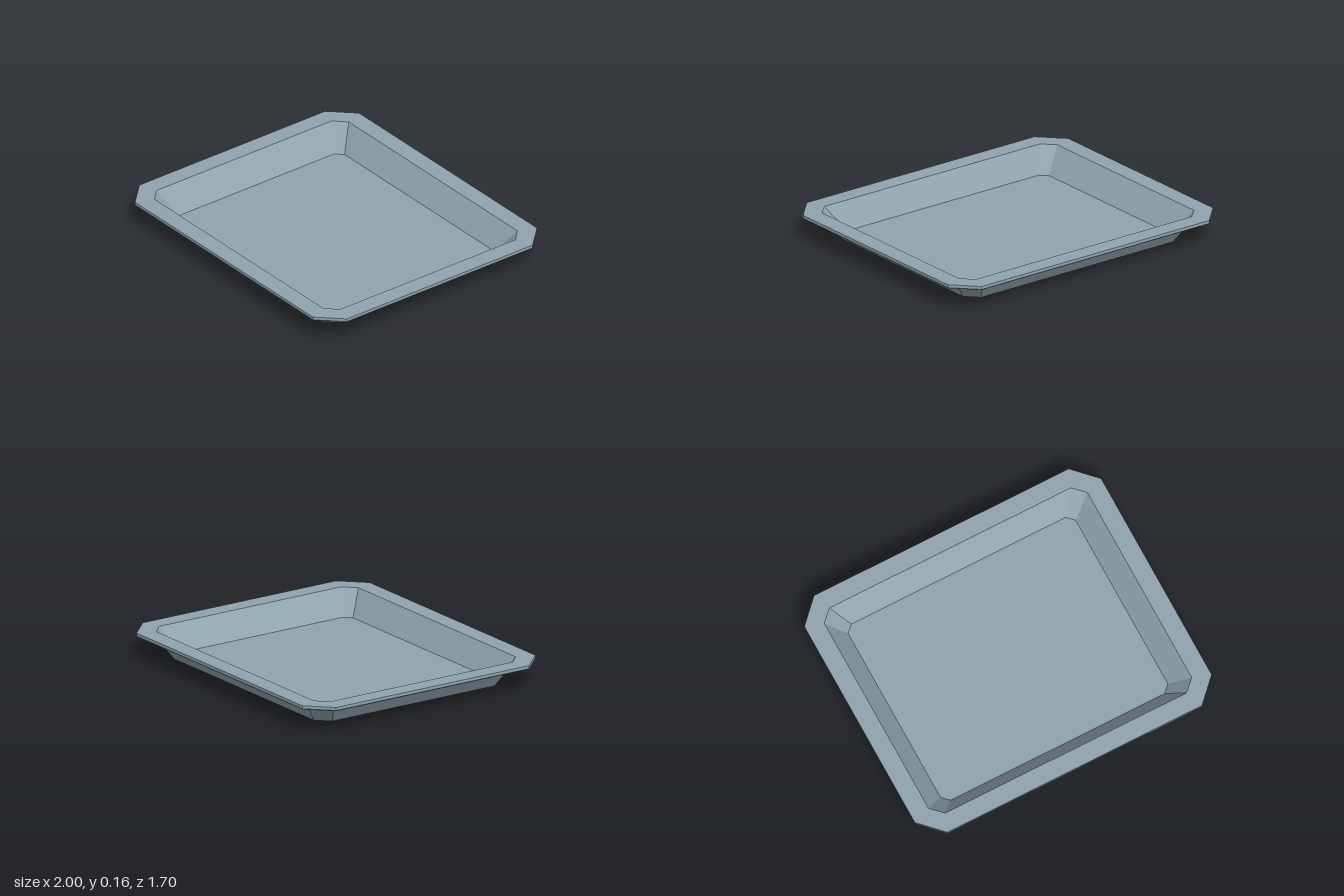
import * as THREE from 'three';

// Chamfered-rectangle ring: half sizes (hx, hz), chamfer start points (cx, cz), height y
function ring([hx, hz, cx, cz, y]) {
  return [[hx, -cz], [hx, cz], [cx, hz], [-cx, hz], [-hx, cz], [-hx, -cz], [-cx, -hz], [cx, -hz]]
    .map(([x, z]) => [x, y, z]);
}

// Joins successive rings with flat facets; caps close the first or last ring
function loft(sections, { capStart = false, capEnd = false } = {}) {
  const rings = sections.map(ring);
  const pos = [];
  const tri = (a, b, c) => pos.push(...a, ...b, ...c);
  const n = 8;
  for (let r = 0; r < rings.length - 1; r++) {
    for (let i = 0; i < n; i++) {
      const j = (i + 1) % n;
      const lower = rings[r], upper = rings[r + 1];
      tri(lower[i], upper[i], lower[j]);
      tri(lower[j], upper[i], upper[j]);
    }
  }
  const first = rings[0], last = rings[rings.length - 1];
  for (let i = 1; i < n - 1; i++) {
    if (capStart) tri(first[0], first[i], first[i + 1]);
    if (capEnd) tri(last[0], last[i + 1], last[i]);
  }
  const geometry = new THREE.BufferGeometry();
  geometry.setAttribute('position', new THREE.Float32BufferAttribute(pos, 3));
  geometry.computeVertexNormals();
  return geometry;
}

export function createModel() {
  const group = new THREE.Group();
  group.name = 'tray';
  const metal = new THREE.MeshStandardMaterial({ color: 0x90a4ae });
  metal.name = 'blueGreyMetal';

  // Cross-sections, from the underside round the rim and down to the inner floor
  const base = [0.80, 0.67, 0.722, 0.59, 0];
  const underRim = [0.893, 0.76, 0.782, 0.645, 0.135];
  const rimBottom = [0.995, 0.843, 0.856, 0.698, 0.135];
  const rimEdge = [1, 0.848, 0.858, 0.702, 0.141];
  const rimTop = [1, 0.848, 0.858, 0.702, 0.16];
  const mouth = [0.886, 0.735, 0.813, 0.663, 0.16];
  const floor = [0.766, 0.631, 0.722, 0.587, 0.015];

  const add = (name, geometry) => {
    const mesh = new THREE.Mesh(geometry, metal);
    mesh.name = name;
    group.add(mesh);
  };
  add('outerBasin', loft([base, underRim], { capStart: true }));
  add('rim', loft([underRim, rimBottom, rimEdge, rimTop, mouth]));
  add('innerBasin', loft([mouth, floor], { capEnd: true }));
  return group;
}
